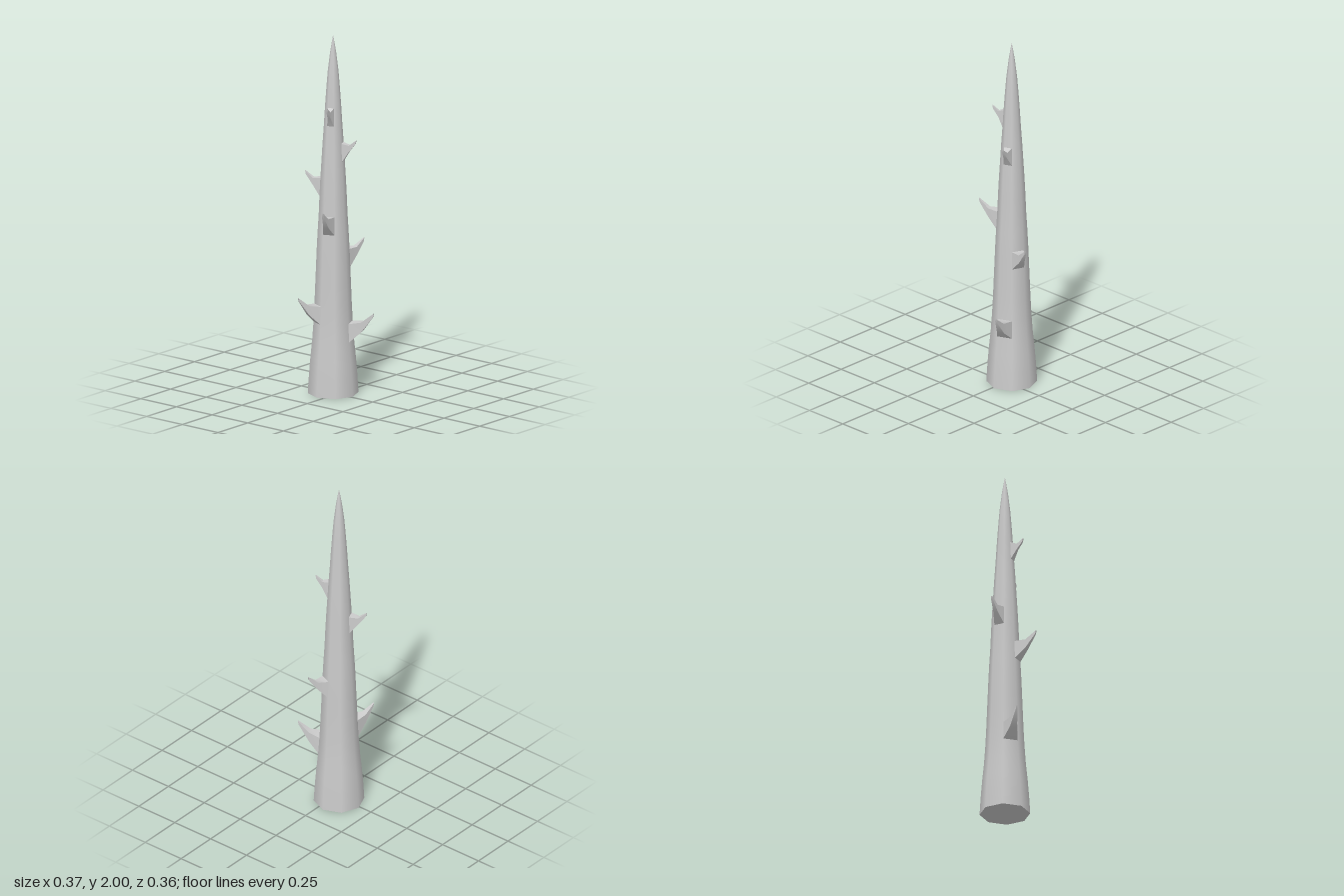
import * as THREE from 'three';
import { toCreasedNormals } from 'three/addons/utils/BufferGeometryUtils.js';

const SIDES = 8;
const HALF = Math.PI / SIDES;

// trunk profile: [radius, height]
const PROFILE = [
  [0.137, 0], [0.131, 0.1], [0.123, 0.2], [0.113, 0.3], [0.106, 0.4], [0.101, 0.5],
  [0.097, 0.6], [0.093, 0.7], [0.089, 0.8], [0.084, 0.9], [0.078, 1.0], [0.074, 1.1],
  [0.069, 1.2], [0.063, 1.3], [0.057, 1.4], [0.05, 1.5], [0.044, 1.6], [0.037, 1.7],
  [0.029, 1.8], [0.017, 1.9], [0.009, 1.95], [0, 2],
];

// thorns: [base height, octagon face index from +x towards +z, tip distance from axis, tip rise]
const THORNS = [
  [0.3, 1, 0.23, 0.06], [0.4, 4, 0.212, 0.055], [0.7, 0, 0.188, 0.043], [0.9, 3, 0.189, 0.05],
  [1.1, 5, 0.157, 0.03], [1.3, 1, 0.131, 0.02], [1.5, 3, 0.111, 0.014],
];

const radiusAt = (y) => PROFILE.find((p) => Math.abs(p[1] - y) < 0.01)[0];

// hooked thorn grown from one trunk face, pointing along +x
function thornGeometry(y0, reach, rise) {
  const y1 = y0 + 0.1;
  const rb = radiusAt(y0), rt = radiusAt(y1);
  const c = Math.cos(HALF), s = Math.sin(HALF);
  const base = rt * c;
  const mid = base + (reach - base) * 0.5;
  // each section: bottom x, y, half width, then top x, y, half width
  const sections = [
    [rb * c, y0, rb * s, base, y1, rt * s],
    [mid, y0 + 0.054, rt * s * 0.5, mid, y1 + rise * 0.5 - 0.021, rt * s * 0.5],
    [reach - 0.004, y1 + rise - 0.02, 0.005, reach, y1 + rise, 0.004],
  ];
  const pos = [], idx = [];
  for (const [bx, by, bw, tx, ty, tw] of sections) {
    pos.push(bx, by, -bw, bx, by, bw, tx, ty, tw, tx, ty, -tw);
  }
  for (let i = 0; i < sections.length - 1; i++) {
    for (let j = 0; j < 4; j++) {
      const a = i * 4 + j, b = i * 4 + (j + 1) % 4;
      idx.push(a, a + 4, b, b, a + 4, b + 4);
    }
  }
  const e = (sections.length - 1) * 4;
  idx.push(e, e + 2, e + 1, e, e + 3, e + 2);
  const g = new THREE.BufferGeometry();
  g.setAttribute('position', new THREE.Float32BufferAttribute(pos, 3));
  g.setIndex(idx);
  return toCreasedNormals(g, 0.9);
}

export function createModel() {
  const model = new THREE.Group();
  model.name = 'thornySpike';
  const grey = new THREE.MeshStandardMaterial({ color: 0xcccccc });
  grey.name = 'grey';

  const add = (name, geometry) => {
    const mesh = new THREE.Mesh(geometry, grey);
    mesh.name = name;
    mesh.position.set(0.01, 0, -0.036);
    model.add(mesh);
    return mesh;
  };

  // tapering trunk and its flat underside
  add('trunk', new THREE.LatheGeometry(PROFILE.map(([r, y]) => new THREE.Vector2(r, y)), SIDES));
  add('trunkBase', new THREE.CircleGeometry(PROFILE[0][0], SIDES)).rotation.x = Math.PI / 2;

  // thorns, each centred on a trunk face
  THORNS.forEach(([y, face, reach, rise], i) => {
    add('thorn' + (i + 1), thornGeometry(y, reach, rise)).rotation.y = -(2 * face + 1) * HALF;
  });
  return model;
}
